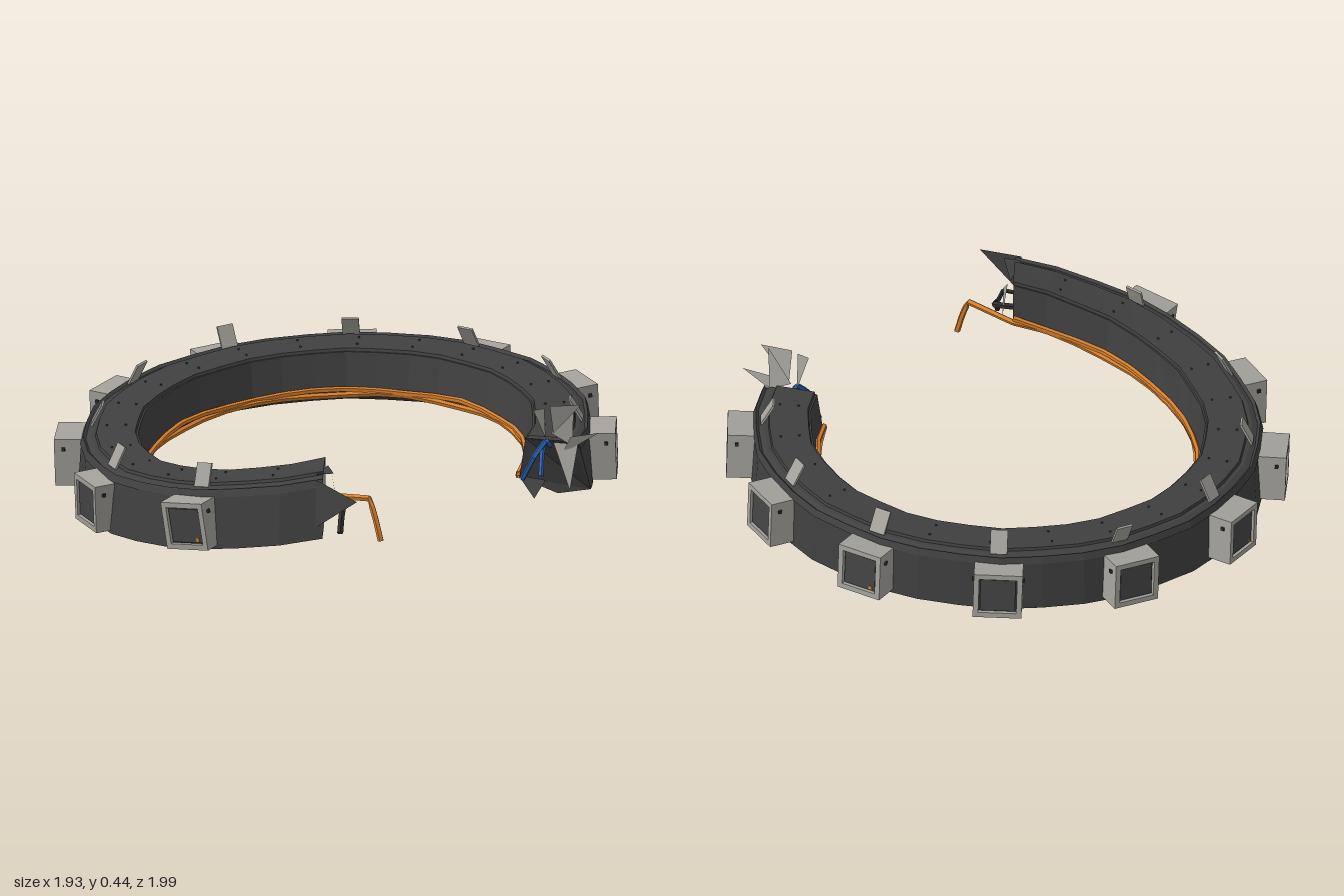
import * as THREE from 'three';

const mat = (name, color) => new THREE.MeshStandardMaterial({ name, color, flatShading: true, side: THREE.DoubleSide });
const START = 0.27, END = -4.69, STEPS = 30;

// Point on the tilted ring: angle, radius, height above the underside
function at(phi, r, h) {
  const rise = phi > -1 ? Math.pow((phi + 1) / 1.27, 1.5) : 0;
  const radius = r + 0.024 * rise;
  const x = Math.sin(phi) * radius, z = Math.cos(phi) * radius * 1.03;
  return new THREE.Vector3(x, 0.065 - 0.105 * z + 0.143 * rise + h, z);
}

const phiAt = (i) => START + (END - START) * i / STEPS;

// Section point [radius, height, tear] at a station; tear cuts the last station back
const station = (i, [r, h, tear = 0]) => at(phiAt(i) + (i === STEPS ? tear : 0), r + 0.004 * Math.sin(i * 2.4), h);

function fromTriangles(points) {
  const g = new THREE.BufferGeometry().setFromPoints(points);
  g.computeVertexNormals();
  return g;
}

// Sweep a counter-clockwise section round the broken ring
function sweep(section) {
  const out = [];
  for (let i = 0; i < STEPS; i++) {
    for (let j = 0; j < section.length; j++) {
      const p = section[j], q = section[(j + 1) % section.length];
      const a = station(i, p), b = station(i, q), c = station(i + 1, q), d = station(i + 1, p);
      out.push(a, b, c, a, c, d);
    }
  }
  return fromTriangles(out);
}

// End face closing the section
function cap(section, i) {
  const out = [], p = section.map((s) => station(i, s));
  for (let j = 1; j < p.length - 1; j++) out.push(p[0], ...(i === 0 ? [p[j + 1], p[j]] : [p[j], p[j + 1]]));
  return fromTriangles(out);
}

function wire(points, radius, segments) {
  const path = new THREE.CurvePath();
  const v = points.map((p) => (p.isVector3 ? p : new THREE.Vector3(...p)));
  for (let i = 0; i < v.length - 1; i++) path.add(new THREE.LineCurve3(v[i], v[i + 1]));
  return new THREE.TubeGeometry(path, segments, radius, 5, false);
}

export function createModel() {
  const root = new THREE.Group();
  root.name = 'brokenCollar';
  const dark = mat('darkCasing', 0x404040);
  const trim = mat('blackTrim', 0x2e2e2e);
  const metal = mat('greyMetal', 0xa3a19a);
  const screen = mat('screenGrey', 0x444444);
  const orange = mat('orangeCable', 0xd67f2c);
  const blue = mat('blueCable', 0x2f62b6);
  const add = (name, geometry, material, parent = root) => {
    const m = new THREE.Mesh(geometry, material);
    m.name = name;
    parent.add(m);
    return m;
  };

  // Casing with a sloping inner underside, raised top strip and rim
  const section = [[0.895, 0, 0.12], [0.882, 0.192], [0.848, 0.208], [0.685, 0.208], [0.664, 0.066], [0.79, 0, 0.06]];
  const strip = [[0.835, 0.204], [0.83, 0.218], [0.695, 0.218], [0.69, 0.204]];
  const rim = [[0.886, 0.182], [0.876, 0.208], [0.865, 0.198]];
  add('casing', sweep(section), dark);
  add('topStrip', sweep(strip), dark);
  add('topRim', sweep(rim), dark);
  add('frontEndPlate', cap(section, 0), metal);
  add('rightEndPlate', cap(section, STEPS), dark);

  // Two strands along the lower inner edge; the first hangs out of the front end
  for (const [k, h, radius] of [[0, 0.067, 0.011], [1, 0.082, 0.01]]) {
    const pts = [];
    if (k === 0) pts.push([0.405, 0.075, 0.745], [0.385, 0.15, 0.74], [0.36, 0.22, 0.73]);
    for (let i = 0; i <= STEPS; i++) {
      pts.push(at(phiAt(i), 0.659 + 0.003 * Math.sin(i * 1.9 + k * 2), h + 0.004 * Math.sin(i * 1.3 + k * 3)));
    }
    add('innerCable', wire(pts, radius, 120), orange);
  }

  // Loose wires at both ends
  add('frontLooseWire', wire([[0.18, 0.21, 0.76], [0.275, 0.2, 0.765], [0.285, 0.17, 0.82], [0.29, 0.12, 0.85]], 0.011, 18), trim);
  add('frontShortWire', wire([[0.18, 0.24, 0.8], [0.25, 0.25, 0.79], [0.27, 0.2, 0.79]], 0.008, 12), trim);
  add('blueWire', wire([[0.77, 0.25, -0.04], [0.77, 0.28, 0.01], [0.74, 0.23, 0.05], [0.69, 0.14, 0.03]], 0.01, 18), blue);
  add('blueWireBranch', wire([[0.75, 0.26, -0.03], [0.765, 0.24, 0.04], [0.775, 0.17, 0.085]], 0.009, 12), blue);

  // Torn sheet metal, one triangle per shard
  const shard = (material, ...corners) => add('tornShard', fromTriangles(corners.map((c) => new THREE.Vector3(...c))), material);
  shard(metal, [0.79, 0.3, -0.01], [0.9, 0.42, 0.02], [0.79, 0.41, 0.03]);
  shard(metal, [0.78, 0.3, -0.015], [0.86, 0.26, -0.015], [0.87, 0.42, 0.01]);
  shard(metal, [0.82, 0.23, -0.01], [0.96, 0.32, 0.0], [0.86, 0.3, 0.01]);
  shard(metal, [0.76, 0.28, -0.015], [0.77, 0.4, 0.03], [0.73, 0.39, 0.03]);
  shard(metal, [0.86, 0.11, 0.02], [0.88, 0.27, -0.01], [0.79, 0.27, -0.01]);
  shard(dark, [0.66, 0.14, -0.015], [0.73, 0.07, 0.02], [0.76, 0.13, -0.015]);
  shard(dark, [0.22, 0.32, 0.905], [0.22, 0.15, 0.915], [0.39, 0.27, 0.97]);
  shard(dark, [0.21, 0.33, 0.74], [0.21, 0.33, 0.87], [0.27, 0.335, 0.86]);
  shard(metal, [0.22, 0.32, 0.74], [0.23, 0.2, 0.71], [0.25, 0.26, 0.79]);

  // Nine display boxes, each with a tab on the collar top
  const square = (s) => [[-s, -s], [s, -s], [s, s], [-s, s]].map(([x, y]) => new THREE.Vector2(x, y));
  const frameShape = new THREE.Shape(square(0.085));
  frameShape.holes.push(new THREE.Path(square(0.066).reverse()));
  const frameGeo = new THREE.ExtrudeGeometry(frameShape, { depth: 0.02, bevelEnabled: false });
  const bodyGeo = new THREE.BoxGeometry(0.17, 0.17, 0.1);
  const screenGeo = new THREE.BoxGeometry(0.122, 0.122, 0.008);
  const backGeo = new THREE.BoxGeometry(0.132, 0.132, 0.004);
  const pinGeo = new THREE.BoxGeometry(0.008, 0.012, 0.012);
  const tabGeo = new THREE.BoxGeometry(0.06, 0.085, 0.008);
  const tilt = new THREE.Quaternion().setFromEuler(new THREE.Euler(0.105, 0, 0));
  const orient = (o, phi) => {
    const roll = phi > -0.5 ? 0.13 : 0;
    o.quaternion.copy(tilt).multiply(new THREE.Quaternion().setFromEuler(new THREE.Euler(0, phi, roll, 'YXZ')));
  };
  [-0.255, -0.82, -1.355, -1.845, -2.365, -2.88, -3.403, -3.93, -4.43].forEach((phi, i) => {
    const box = new THREE.Group();
    box.name = 'displayBox';
    box.position.copy(at(phi, i < 2 ? 0.902 : 0.92, 0.1));
    orient(box, phi);
    root.add(box);
    add('boxBody', bodyGeo, metal, box).position.z = -0.017;
    add('boxFrame', frameGeo, metal, box).position.z = 0.033;
    add('screenGap', backGeo, trim, box).position.z = 0.036;
    add('screen', screenGeo, screen, box).position.z = 0.042;
    for (const s of [-1, 1]) add('sidePin', pinGeo, trim, box).position.set(s * 0.088, 0.05, 0.02);
    if (i % 3 === 0) add('statusLight', new THREE.BoxGeometry(0.012, 0.012, 0.006), orange, box).position.set(0.045, -0.05, 0.046);

    // The tab over the fifth box is bent outward
    const bent = i === 4;
    const holder = new THREE.Group();
    holder.name = 'topTab';
    holder.position.copy(at(phi, bent ? 0.86 : 0.832, 0.245));
    orient(holder, phi);
    root.add(holder);
    add('tabPlate', tabGeo, metal, holder).rotation.x = bent ? 0.45 : -0.5;
  });

  // Strip clipped under the collar, following the sloping underside
  const under = new THREE.Group();
  under.name = 'undersideStrip';
  under.position.copy(at(-0.8, 0.8, 0.004));
  orient(under, -0.8);
  root.add(under);
  add('stripPlate', new THREE.BoxGeometry(0.035, 0.02, 0.09), metal, under).rotation.x = 0.2;

  // Pairs of bolts on the top strip
  const boltGeo = new THREE.CylinderGeometry(0.004, 0.004, 0.006, 6);
  for (let i = 0; i < 18; i++) {
    const phi = 0.05 - i * 0.27;
    for (const r of [0.73, 0.795]) {
      const bolt = add('bolt', boltGeo, screen);
      bolt.position.copy(at(phi, r, 0.22));
      orient(bolt, phi);
    }
  }
  return root;
}
